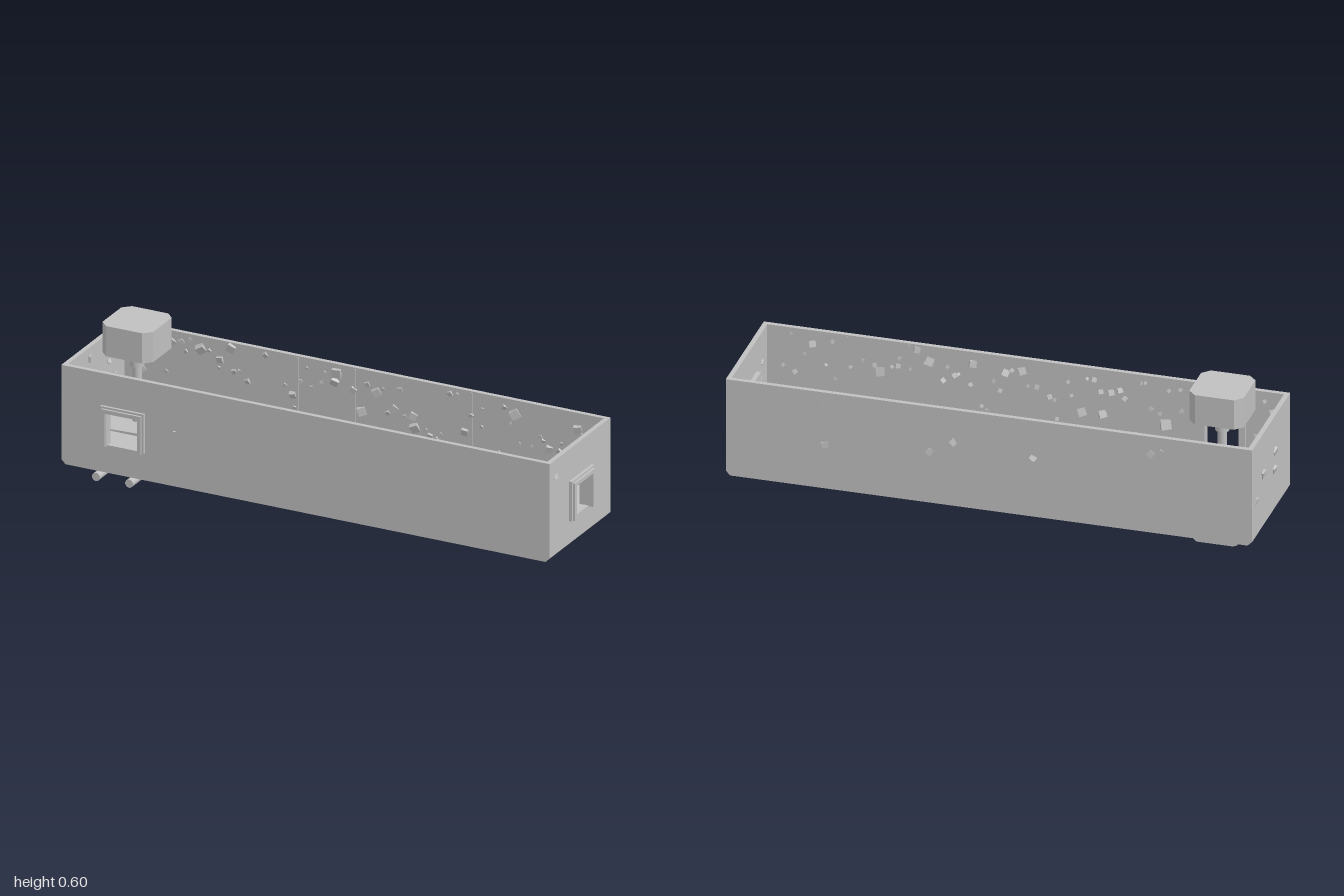
import * as THREE from 'three';

const grey = new THREE.MeshStandardMaterial({ color: 0xc0c0c0 });
grey.name = 'plain grey';

// Tank extents
const X0 = -0.99, X1 = 0.98, Z0 = -0.245, Z1 = 0.232;
const BOTTOM = 0.095, FLOOR = 0.2, RIM = 0.48, WALL = 0.018;

function add(parent, name, geometry, x = 0, y = 0, z = 0) {
  const mesh = new THREE.Mesh(geometry, grey);
  mesh.name = name;
  mesh.position.set(x, y, z);
  parent.add(mesh);
  return mesh;
}

// Box given by its two opposite corners
function block(parent, name, x0, x1, y0, y1, z0, z1) {
  return add(parent, name, new THREE.BoxGeometry(x1 - x0, y1 - y0, z1 - z0),
    (x0 + x1) / 2, (y0 + y1) / 2, (z0 + z1) / 2);
}

const outline = (pts) => new THREE.Shape(pts.map(([x, y]) => new THREE.Vector2(x, y)));
const extrude = (shape, depth) => new THREE.ExtrudeGeometry(shape, { depth, bevelEnabled: false });

// Upright wall with a rectangular opening, built in the XY plane
function windowWall(u0, u1, h0, h1) {
  const shape = outline([[u0, FLOOR], [u1, FLOOR], [u1, RIM], [u0, RIM]]);
  shape.holes.push(outline([[h0, 0.203], [h0, 0.33], [h1, 0.33], [h1, 0.203]]));
  return extrude(shape, WALL);
}

// Doorway surround: two jambs and a lintel with a chamfered outer face
function doorFrame(inner, outer) {
  const frame = new THREE.Group();
  const w = 0.064, o = 0.088;
  const shape = outline([[-o, 0.2], [-w, 0.2], [-w, 0.33], [w, 0.33], [w, 0.2],
    [o, 0.2], [o, 0.355], [-o, 0.355]]);
  add(frame, 'doorSurround', extrude(shape, outer - 0.008 - inner), 0, 0, inner);
  const lip = outline([[-o + 0.008, 0.2], [-w - 0.002, 0.2], [-w - 0.002, 0.332], [w + 0.002, 0.332],
    [w + 0.002, 0.2], [o - 0.008, 0.2], [o - 0.008, 0.347], [-o + 0.008, 0.347]]);
  add(frame, 'doorLip', extrude(lip, 0.008), 0, 0, outer - 0.008);
  return frame;
}

let seed = 7;
function random() {
  seed = (seed * 16807) % 2147483647;
  return seed / 2147483647;
}

function createModel() {
  const model = new THREE.Group();
  model.name = 'openTank';

  // Base with chamfered ends
  const c = 0.017;
  add(model, 'base', extrude(outline([[X0 + c, BOTTOM], [X1 - c, BOTTOM], [X1, BOTTOM + c],
    [X1, FLOOR], [X0, FLOOR], [X0, BOTTOM + c]]), Z1 - Z0), 0, 0, Z0);

  // Gently arched walkway along the floor
  const path = new THREE.Shape();
  path.moveTo(X0 + WALL, FLOOR - 0.01);
  path.lineTo(X1 - WALL, FLOOR - 0.01);
  path.lineTo(X1 - WALL, FLOOR + 0.002);
  path.quadraticCurveTo(0, FLOOR + 0.042, X0 + WALL, FLOOR + 0.002);
  add(model, 'walkway', extrude(path, 0.235), 0, 0, -0.13);
  block(model, 'doorStep', -0.885, -0.86, FLOOR, 0.222, 0.105, 0.18);

  // Four walls, two with openings
  add(model, 'frontWall', windowWall(X0, X1, -0.805, -0.677), 0, 0, Z1 - WALL);
  block(model, 'backWall', X0, X1, FLOOR, RIM, Z0, Z0 + WALL);
  block(model, 'rightEndWall', X0, X0 + WALL, FLOOR, RIM, Z0 + WALL, Z1 - WALL);
  const endWall = add(model, 'leftEndWall', windowWall(-Z1 + WALL, -Z0 - WALL, -0.057, 0.071), X1 - WALL, 0, 0);
  endWall.rotation.y = Math.PI / 2;

  const frontDoor = doorFrame(0.205, 0.25);
  frontDoor.name = 'frontDoorFrame';
  frontDoor.position.x = -0.741;
  const endDoor = doorFrame(0.945, 1.0);
  endDoor.name = 'endDoorFrame';
  endDoor.rotation.y = Math.PI / 2;
  endDoor.position.z = -0.007;
  model.add(frontDoor, endDoor);

  // Thin ribs at the wall joints
  for (const x of [-0.27, -0.04, 0.43]) {
    block(model, 'backRib', x - 0.003, x + 0.003, FLOOR, RIM - 0.005, Z0 + WALL, Z0 + WALL + 0.004);
  }
  for (const x of [0.43, 0.66]) {
    block(model, 'frontRib', x - 0.003, x + 0.003, FLOOR, RIM - 0.005, Z1 - WALL - 0.004, Z1 - WALL);
  }

  // Small tilted stones set into the inner faces
  const stones = new THREE.Group();
  stones.name = 'wallStones';
  model.add(stones);
  const cube = new THREE.BoxGeometry(1, 1, 1);
  function stone(x, y, z, size, endFace) {
    const m = add(stones, 'stone', cube, x, y, z);
    const thin = size * 0.7;
    m.scale.set(endFace ? thin : size, size, endFace ? size : thin);
    m.rotation.set(random() * 0.5, random() * 0.5, random() * 1.5);
    if (endFace) m.rotation.set(random() * 1.5, random() * 0.4, random() * 0.4);
  }
  const height = () => FLOOR + 0.02 + random() * 0.24;
  const stoneSize = () => 0.01 + random() * random() * 0.028;
  for (let i = 0; i < 75; i++) {
    const x = X0 + 0.06 + (i + random()) / 75 * 1.84;
    stone(x, height(), Z0 + WALL, stoneSize(), false);
    const y = height();
    if (x > -0.62 || x < -0.86) stone(x, y, Z1 - WALL, stoneSize(), false);
  }
  for (let i = 0; i < 18; i++) {
    stone(X0 + WALL, height(), Z0 + 0.04 + random() * 0.4, stoneSize(), true);
  }
  for (const z of [-0.2, -0.17, -0.14, 0.12, 0.15, 0.19]) {
    stone(X1 - WALL, height(), z, stoneSize(), true);
  }
  // Stones that break through the outer faces
  for (const [x, y] of [[0.61, 0.27], [0.13, 0.35], [0.22, 0.3], [-0.17, 0.33], [-0.61, 0.41]]) {
    stone(x, y, Z0 + 0.004, 0.024, false);
  }
  for (const [z, y] of [[-0.2, 0.254], [-0.11, 0.32], [0.04, 0.34], [0.03, 0.27]]) {
    stone(X0 + 0.003, y, z, 0.026, true);
  }
  stone(X1 - 0.004, 0.413, 0.184, 0.02, true);
  stone(X1 - 0.004, 0.3, 0.19, 0.008, true);

  // Drive block with clipped corners and its shaft
  const drive = new THREE.Group();
  drive.name = 'driveUnit';
  drive.position.set(-0.808, 0, -0.008);
  model.add(drive);
  const a = 0.102, b = 0.073;
  const octagon = outline([[-a, -b], [-b, -a], [b, -a], [a, -b], [a, b], [b, a], [-b, a], [-a, b]]);
  const housing = add(drive, 'driveHousing', extrude(octagon, 0.118), 0, 0.482, 0);
  housing.rotation.x = -Math.PI / 2;
  add(drive, 'driveCollar', new THREE.CylinderGeometry(0.026, 0.026, 0.06, 24), 0, 0.453, 0);
  add(drive, 'driveShaft', new THREE.CylinderGeometry(0.017, 0.017, 0.24, 24), 0, 0.32, 0);

  // Hanging bracket with two forward pins
  const bracket = new THREE.Group();
  bracket.name = 'lowerBracket';
  bracket.position.x = -0.808;
  model.add(bracket);
  const plate = (w, y0, cut) => outline([[-w + cut, y0], [w - cut, y0], [w, y0 + cut],
    [w, BOTTOM + 0.002], [-w, BOTTOM + 0.002], [-w, y0 + cut]]);
  add(bracket, 'bracketPlate', extrude(plate(0.108, 0, 0.035), 0.026), 0, 0, -0.081);
  add(bracket, 'bracketBack', extrude(plate(0.1, 0.007, 0.03), 0.02), 0, 0, -0.101);
  for (const side of [-1, 1]) {
    const collar = add(bracket, 'pinCollar', new THREE.CylinderGeometry(0.022, 0.022, 0.034, 24), side * 0.067, 0.047, -0.04);
    const pin = add(bracket, 'pin', new THREE.CylinderGeometry(0.016, 0.016, 0.22, 24), side * 0.067, 0.047, 0.075);
    collar.rotation.x = pin.rotation.x = Math.PI / 2;
  }

  return model;
}

export { createModel };
